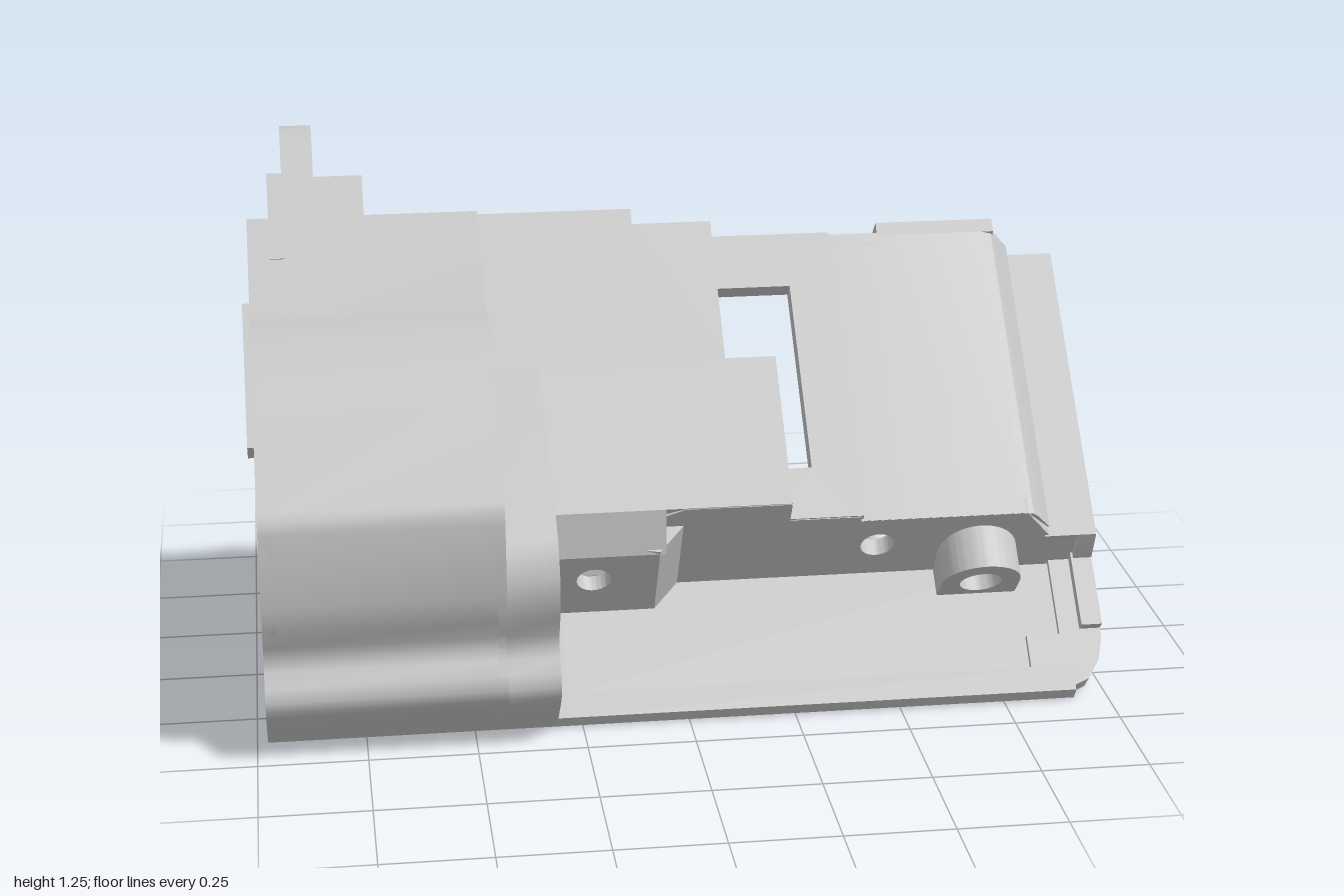
import * as THREE from 'three';
import { toCreasedNormals } from 'three/addons/utils/BufferGeometryUtils.js';

const V = (x, y, z) => new THREE.Vector3(x, y, z);
const K = Math.SQRT1_2;

// The housing leans at 45 degrees: u runs up its face, v points out of it.
const uv = ([z, y]) => [(y - z) * K, (y + z) * K];

// Closed strip of thickness t on the inner side of an open path
function thick(path, t) {
  const inner = path.map((p, i) => {
    const a = path[Math.max(i - 1, 0)], b = path[Math.min(i + 1, path.length - 1)];
    const dx = b[0] - a[0], dy = b[1] - a[1], l = Math.hypot(dx, dy);
    return [p[0] + (dy / l) * t, p[1] - (dx / l) * t];
  });
  return [...path, ...inner.reverse()];
}

export function createModel() {
  const model = new THREE.Group();
  model.name = 'housing';
  const body = new THREE.Group();
  body.name = 'tiltedBody';
  // local axes: X = u, Y = v, Z = world x
  body.quaternion.setFromRotationMatrix(
    new THREE.Matrix4().makeBasis(V(0, K, -K), V(0, K, K), V(1, 0, 0)));
  model.add(body);
  const grey = new THREE.MeshStandardMaterial({ color: 0xc6c6c6, side: THREE.DoubleSide });
  grey.name = 'plain grey';

  const outline = (pts) => new THREE.Shape(pts.map(([a, b]) => new THREE.Vector2(a, b)));
  const hole = (x, y, r) => new THREE.Path().absarc(x, y, r, 0, Math.PI * 2, true);
  function add(name, shape, depth, matrix, holes = [], lean) {
    const s = Array.isArray(shape) ? outline(shape) : shape;
    s.holes.push(...holes);
    let geo = new THREE.ExtrudeGeometry(s, { depth, bevelEnabled: false, curveSegments: 20 });
    geo.applyMatrix4(matrix);
    if (lean) {
      const p = geo.attributes.position;
      for (let i = 0; i < p.count; i++) p.setX(i, p.getX(i) + lean(p.getY(i)));
    }
    geo = toCreasedNormals(geo, 0.6);
    const mesh = new THREE.Mesh(geo, grey);
    mesh.name = name;
    body.add(mesh);
  }
  // outline (u,v) extruded along x
  const alongX = (name, s, x0, x1, holes) =>
    add(name, s, x1 - x0, new THREE.Matrix4().makeTranslation(0, 0, x0), holes);
  // outline (x,v) extruded along u
  const alongU = (name, s, u0, u1, holes, lean) =>
    add(name, s, u1 - u0, new THREE.Matrix4().makeBasis(V(0, 0, 1), V(0, 1, 0), V(-1, 0, 0)).setPosition(u1, 0, 0), holes, lean);
  // outline (x,u) extruded along v
  const alongV = (name, s, v0, v1, lean) =>
    add(name, s, v1 - v0, new THREE.Matrix4().makeBasis(V(0, 0, 1), V(1, 0, 0), V(0, 1, 0)).setPosition(0, v0, 0), [], lean);
  const rect = (a0, b0, a1, b1) => [[a0, b0], [a1, b0], [a1, b1], [a0, b1]];
  const wallLean = (v) => (v - .304) * .235;

  // Rounded cap profiles, written as (z, y)
  const foot = [[.38, 0], [.49, .11], [.51, .135], [.515, .16], [.505, .19], [.48, .22],
    [.47, .245], [.475, .275], [.5, .325], [.515, .39]];
  const high = [[.505, .56], [.5, .585], [.485, .605], [.246, .84], [.21, .87], [.17, .892],
    [.13, .906], [.086, .913], [.02, .913], [-.243, 1.07]];
  const low = [[.51, .43], [.495, .47], [.47, .505], [.43, .535], [.05, .765]];
  const capPath = [...foot, ...high].map(uv), sweepPath = [...foot, ...low].map(uv);
  alongX('capShell', thick(capPath, .035), -.975, -.43);
  alongX('sweepShell', thick(sweepPath, .03), -.45, -.31);
  alongX('capEndWall', [...capPath, [.89, .41], [.89, .2], [.57, .2], [.57, .298], [.389, .285],
    [.17, .285], [.17, .212], [-.212, .212]], -.976, -.945);
  alongX('capStepWall', [[.515, .39], ...high].map(uv).concat([[.926, .54], [.5, .54]],
    low.map(uv).reverse()), -.465, -.43);
  alongX('sweepEndWall', [...sweepPath, [.5, .54], [.13, .54], [.07, .304], [.07, .212],
    [-.212, .212]], -.345, -.31);
  alongX('endBar', rect(.5, .161, .893, .22), -1, -.945);

  // Face plates
  alongV('upperPlate', [[-.31, .134], [.25, .134], [.25, .515], [.13, .515],
    [.13, .884], [-.06, .884], [-.06, .926], [-.45, .926], [-.45, .49], [-.31, .49]], .513, .573);
  alongV('windowPlate', [[.13, .12], [.425, .12], [.425, .871], [.13, .871], [.13, .73],
    [.315, .73], [.315, .249], [.13, .249]], .47, .515);
  alongU('sidePlate', thick([[.42, .495], [.81, .495], [.835, .488], [.85, .47], [.88, .42],
    [.89, .405]], .035), .115, .875);
  alongU('sidePlateTop', rect(.55, .45, .83, .495), .87, .905);
  alongU('flangePlate', rect(.875, .37, 1, .405), .09, .85);

  // Walls along the top edge
  for (const [x0, x1, u, v, low] of [[-.96, -.45, .926, .575, .51], [-.45, -.06, .926, .573, .445],
    [-.06, .13, .884, .573, .42], [.13, .42, .873, .515, .41], [.42, .55, .877, .495, .41],
    [.55, .84, .905, .495, .45]])
    alongX('topEdgeWall', [[u, v], [u - (v - low) * .12, low], [u - .05, low], [u - .035, v]], x0, x1);

  // Leaning lower wall and the screw block beside it
  alongU('lowerWall', [[-.06, .25], [-.06, .54], [0, .57], [.25, .57], [.25, .51], [.42, .51],
    [.42, .494], [.82, .494], [.885, .405], [1, .405], [1, .25]], .07, .11, [hole(.47, .4, .04)], wallLean);
  alongU('screwBlockFace', rect(-.31, .28, -.06, .502), .007, .042, [hole(-.21, .415, .04)], wallLean);
  alongV('screwBlockSide', [[-.06, .007], [0, .07], [-.035, .075], [-.09, .012]], .28, .51, wallLean);
  alongX('screwBlockTop', [[.134, .573], [.053, .502], [.095, .502], [.15, .55]], -.31, -.045);

  // Round boss with a bore
  const boss = new THREE.Shape();
  boss.moveTo(.62, .28);
  boss.lineTo(.81, .28);
  boss.lineTo(.81, .36);
  boss.absarc(.715, .36, .095, 0, Math.PI, false);
  boss.lineTo(.62, .28);
  alongU('boss', boss, 0, .11, [hole(.715, .36, .05)]);

  // Tray with a raised front lip; it reaches further back beneath the cap
  for (const [x0, x1, back] of [[-.95, -.28, .17], [-.28, .92, .11]])
    alongX('tray', [[-.262, .304], [-.269, .269], [-.212, .212], [back, .212], [back, .25],
      [.09, .29], [-.2, .29], [-.2, .304]], x0, x1);

  // Rounded right corner of the tray and its stepped rim
  const corner = [[.955, -.235], [.985, -.19], [1, -.134], [1, .12]];
  alongV('trayCorner', [[.9, .12], [.9, -.25], [.92, -.25], ...corner], .25, .304);
  alongV('trayCorner', [[.9, .12], [.9, -.212], [.965, -.212], ...corner.slice(1)], .212, .252);
  alongV('trayRim', [[.82, -.21], [.92, -.21], [.92, .1], [.9, .1], [.9, -.12], [.82, -.12]], .28, .304);
  alongV('trayRim', rect(.95, -.11, 1, .1), .3, .33);

  // Right end flange with two tabs
  alongX('endFlange', [[.05, .25], [.17, .22], [.17, .1], [.389, .1], [.389, .283], [.566, .298],
    [.566, .1], [.764, .1], [.85, .405], [.09, .405], [.05, .3]], .955, 1);

  // Hinge ear and its shoulders
  const ear = new THREE.Shape();
  ear.moveTo(.78, .46);
  ear.lineTo(1.105, .46);
  ear.absarc(1.105, .545, .085, -Math.PI / 2, Math.PI / 2, false);
  ear.lineTo(.72, .63);
  alongX('hingeEar', ear, -.89, -.815, [hole(1.105, .545, .045)]);
  alongX('earShoulder', [[.8, .49], [.96, .49], [.99, .5], [1.01, .53], [1.02, .615], [.8, .615]], -.815, -.7);
  alongX('earShoulder', [[.8, .46], [1.0, .46], [1.03, .49], [1.03, .62], [.8, .62]], -.925, -.89);
  return model;
}
